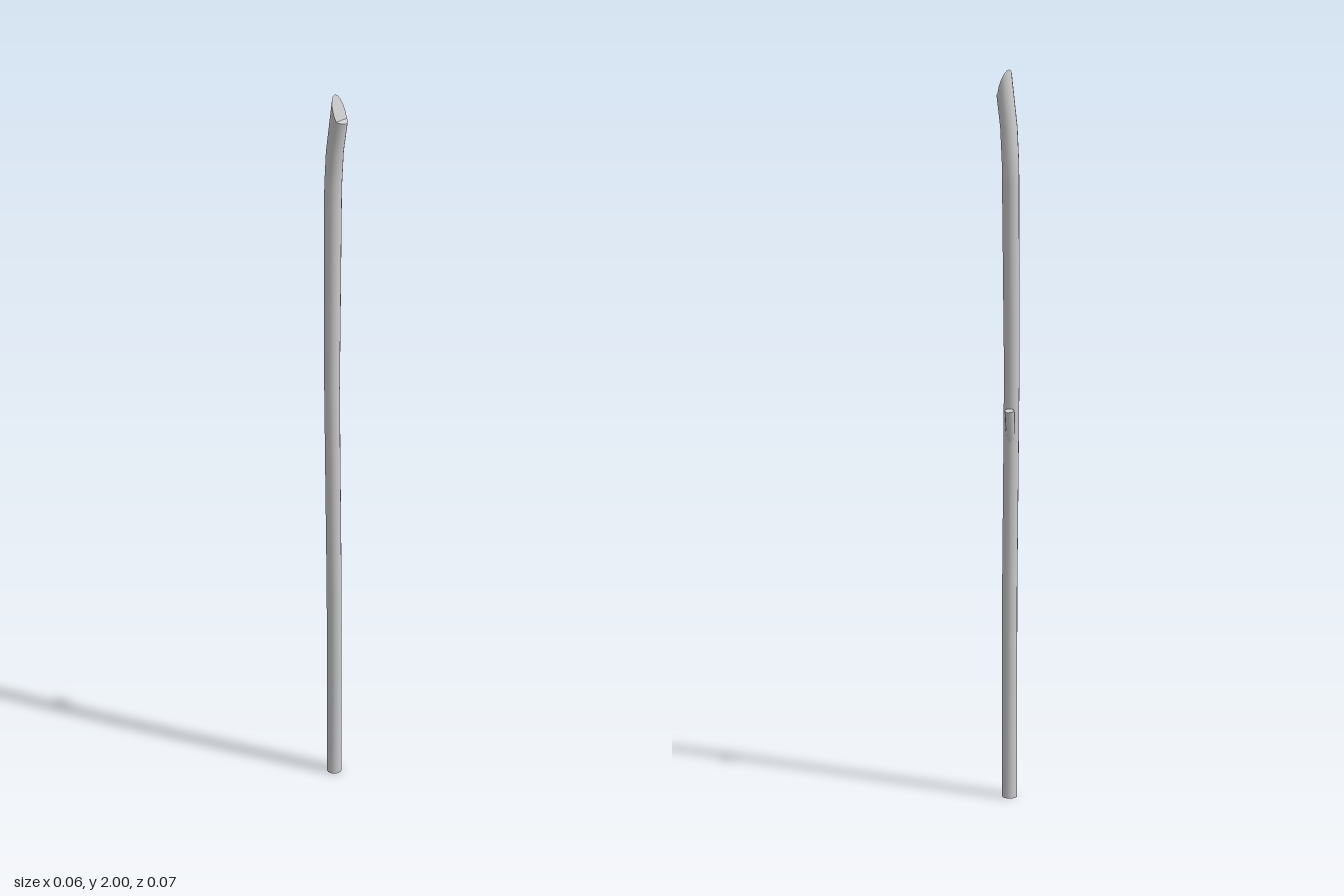
import * as THREE from 'three';

const SIDES = 16;

// Smooth skin through rings of SIDES points; the seam is closed by index
function skin(rings) {
  const index = [];
  for (let r = 0; r < rings.length - 1; r++) {
    for (let i = 0; i < SIDES; i++) {
      const a = r * SIDES + i, b = r * SIDES + (i + 1) % SIDES;
      index.push(a, a + SIDES, b, b, a + SIDES, b + SIDES);
    }
  }
  const g = new THREE.BufferGeometry().setFromPoints(rings.flat());
  g.setIndex(index);
  g.computeVertexNormals();
  return g;
}

// Cap made of strips that run across the ring from left to right
function cap(ring, up) {
  const pts = [];
  const q = SIDES / 4;
  for (let k = 0; k < SIDES / 2; k++) {
    const at = i => ring[(i + SIDES) % SIDES];
    const a = at(q - k), b = at(q - k - 1), c = at(q + k + 1), d = at(q + k);
    pts.push(...(up ? [a, b, c, a, c, d] : [a, c, b, a, d, c]));
  }
  const g = new THREE.BufferGeometry().setFromPoints(pts);
  g.computeVertexNormals();
  return g;
}

export function createModel() {
  const group = new THREE.Group();
  const material = new THREE.MeshStandardMaterial({ color: 0xcccccc, side: THREE.DoubleSide });
  const add = (name, geometry) => {
    const mesh = new THREE.Mesh(geometry, material);
    mesh.name = name;
    group.add(mesh);
    return mesh;
  };

  // Slightly crooked shaft: centre x, height, centre z, radius
  const stations = [
    [-0.005, 0, 0.001, 0.021], [-0.007, 0.3, 0.003, 0.021], [-0.009, 0.6, 0.004, 0.021],
    [-0.010, 1.0, 0.000, 0.021], [-0.009, 1.2, -0.003, 0.021], [-0.003, 1.45, -0.006, 0.022],
    [0.004, 1.7, -0.010, 0.023], [0.004, 1.76, -0.009, 0.023], [0.002, 1.85, -0.002, 0.023],
  ];
  const angle = i => i / SIDES * Math.PI * 2;
  const rings = stations.map(([x, y, z, r]) => Array.from({ length: SIDES }, (_, i) =>
    new THREE.Vector3(x + r * Math.cos(angle(i)), y, z + r * Math.sin(angle(i)))));

  // Whittled tip: steep cut at the back, small ledge at the front
  const R = 0.024, edge = R * Math.sin(angle(1));
  const tip = Array.from({ length: SIDES }, (_, i) => {
    const lz = R * Math.sin(angle(i));
    const y = lz < edge ? 1.937 + (edge - lz) * 0.063 / (edge + R) : 1.937 - (lz - edge) * 0.45;
    return new THREE.Vector3(-0.004 + R * Math.cos(angle(i)), y, 0.014 + (y - 1.93) * 0.17 + lz);
  });
  rings.push(tip);

  add('shaft', skin(rings));
  add('bottomCap', cap(rings[0], false));
  const cut = add('tipCut', cap(tip, true));
  cut.geometry.name = 'tipCut';

  // Short stub of a snapped-off twig
  const from = new THREE.Vector3(-0.006, 0.99, -0.002);
  const to = new THREE.Vector3(0.020, 1.096, -0.019);
  const dir = to.clone().sub(from);
  const stub = add('twigStub', new THREE.CylinderGeometry(0.013, 0.011, dir.length(), 10));
  stub.position.copy(from).add(to).multiplyScalar(0.5);
  stub.quaternion.setFromUnitVectors(new THREE.Vector3(0, 1, 0), dir.normalize());
  return group;
}
